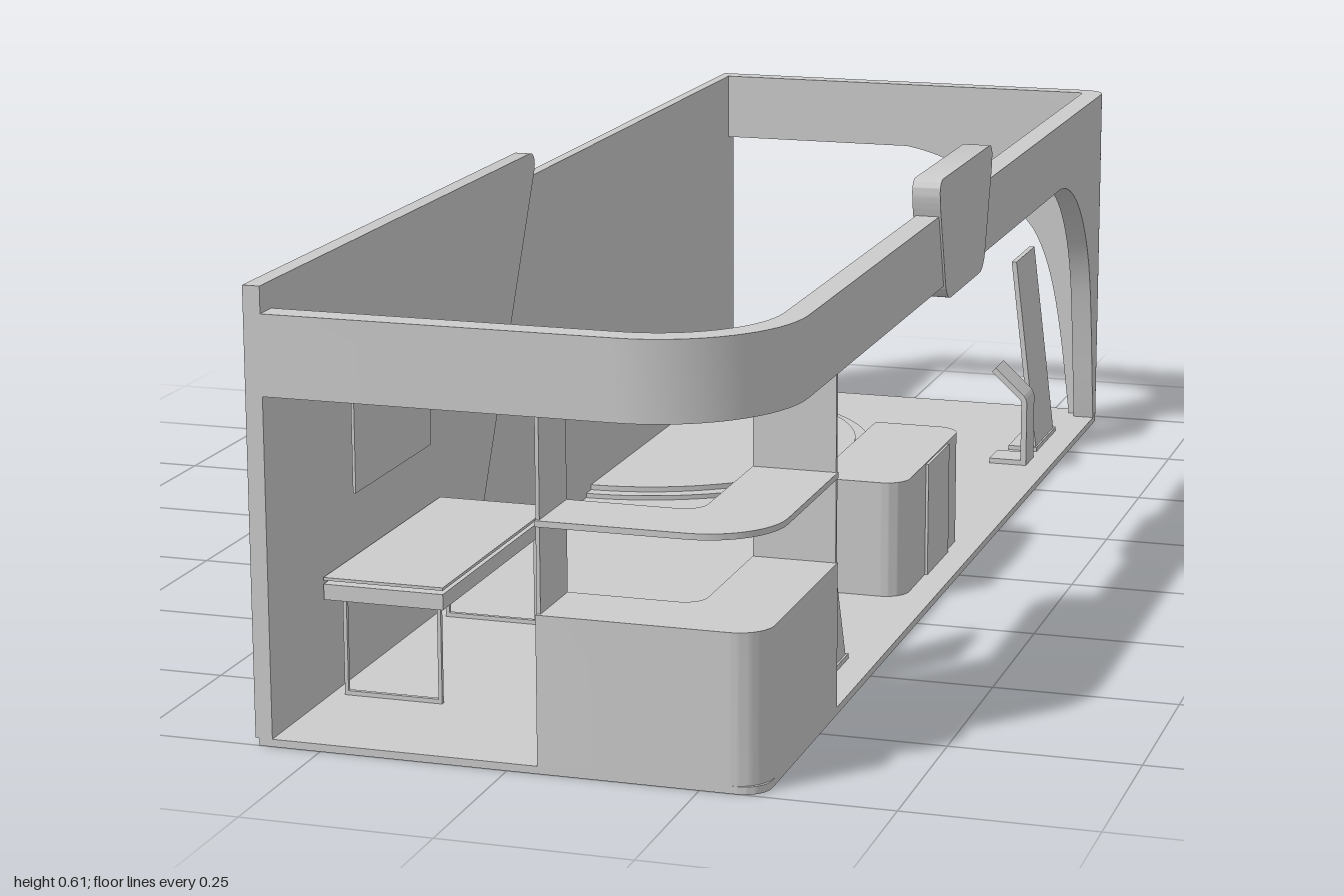
import * as THREE from 'three';
import { toCreasedNormals } from 'three/addons/utils/BufferGeometryUtils.js';

const material = new THREE.MeshStandardMaterial({ color: 0xcccccc, side: THREE.DoubleSide });

// Closed outline from [a, b, cornerRadius] points
function outline(points) {
  const shape = new THREE.Shape();
  const n = points.length;
  points.forEach(([x, y, r = 0], i) => {
    const corner = new THREE.Vector2(x, y);
    const prev = new THREE.Vector2(...points[(i + n - 1) % n].slice(0, 2));
    const next = new THREE.Vector2(...points[(i + 1) % n].slice(0, 2));
    const a = corner.clone().add(prev.sub(corner).setLength(r));
    const b = corner.clone().add(next.sub(corner).setLength(r));
    if (i === 0) shape.moveTo(a.x, a.y);
    else shape.lineTo(a.x, a.y);
    if (r > 0) {
      const c = a.clone().lerp(corner, 0.5523);
      const d = b.clone().lerp(corner, 0.5523);
      shape.bezierCurveTo(c.x, c.y, d.x, d.y, b.x, b.y);
    }
  });
  shape.closePath();
  return shape;
}

function extrude(shape, depth) {
  return new THREE.ExtrudeGeometry(shape, { depth, bevelEnabled: false, curveSegments: 16 });
}

export function createModel() {
  const model = new THREE.Group();

  function add(name, geometry, parent = model) {
    const mesh = new THREE.Mesh(toCreasedNormals(geometry, 0.5), material);
    mesh.name = name;
    parent.add(mesh);
    return mesh;
  }
  function group(name) {
    const g = new THREE.Group();
    g.name = name;
    model.add(g);
    return g;
  }
  // Box from its minimum and maximum corners
  function box(name, x0, x1, y0, y1, z0, z1, parent) {
    const g = new THREE.BoxGeometry(x1 - x0, y1 - y0, z1 - z0);
    return add(name, g.translate((x0 + x1) / 2, (y0 + y1) / 2, (z0 + z1) / 2), parent);
  }
  // Plan outline in (x, z), raised from y0 to y1
  function plan(name, points, y0, y1, parent) {
    const shape = outline(points.map(([x, z, r]) => [x, -z, r]));
    return add(name, extrude(shape, y1 - y0).rotateX(-Math.PI / 2).translate(0, y0, 0), parent);
  }
  // Side outline in (z, y), spanning x0 to x1
  function side(name, shape, x0, x1, parent) {
    return add(name, extrude(shape, x1 - x0).rotateY(-Math.PI / 2).translate(x1, 0, 0), parent);
  }
  // Front outline in (x, y), spanning z0 to z1
  function front(name, shape, z0, z1, parent) {
    return add(name, extrude(shape, z1 - z0).translate(0, 0, z0), parent);
  }

  plan('floor', [[-0.333, -1], [0.333, -1, 0.035], [0.333, 1, 0.035], [-0.333, 1]], 0, 0.01);

  // Left wall in two panels that meet on a slant
  side('rearWallPanel', outline([[-1, 0.01], [0.29, 0.01], [0.01, 0.56], [-1, 0.56]]), -0.333, -0.317);
  side('frontWallPanel',
    outline([[0.296, 0.01], [1, 0.01], [1, 0.595], [-0.005, 0.595, 0.035]]), -0.338, -0.315);

  // Overhead band around the front, right and back
  plan('fascia', [
    [-0.32, 1], [0.333, 1, 0.19], [0.333, -1, 0.035], [-0.32, -1],
    [-0.32, -0.97], [0.3, -0.97, 0.01], [0.3, 0.965, 0.16], [-0.32, 0.965],
  ], 0.455, 0.56);
  plan('soffit', [
    [-0.316, 0.98], [0.315, 0.98, 0.17], [0.315, 0.34],
    [0.22, 0.34, 0.08], [0.22, 0.87, 0.12], [-0.316, 0.87],
  ], 0.454, 0.464);

  // Rear corner column flaring into two arches
  const arches = group('cornerArches');
  const backArch = new THREE.Shape();
  backArch.moveTo(0, 0.455);
  backArch.bezierCurveTo(0.09, 0.44, 0.17, 0.39, 0.22, 0.325);
  backArch.bezierCurveTo(0.26, 0.26, 0.27, 0.15, 0.287, 0.01);
  backArch.lineTo(0.3, 0.01);
  backArch.lineTo(0.3, 0.455);
  front('backArch', backArch, -1, -0.97, arches);
  const sideArch = new THREE.Shape();
  sideArch.moveTo(-0.65, 0.455);
  sideArch.bezierCurveTo(-0.76, 0.45, -0.87, 0.37, -0.905, 0.24);
  sideArch.bezierCurveTo(-0.925, 0.16, -0.935, 0.08, -0.95, 0.01);
  sideArch.lineTo(-0.967, 0.01);
  sideArch.lineTo(-0.967, 0.455);
  side('sideArch', sideArch, 0.3, 0.333, arches);
  plan('cornerColumn',
    [[0.298, -1], [0.333, -1, 0.034], [0.333, -0.965], [0.298, -0.965]], 0.01, 0.455, arches);

  // Sign plate clipped over the right side of the band
  side('signPlate', outline([
    [-0.16, 0.612, 0.02], [0.16, 0.612, 0.02], [0.155, 0.575, 0.01],
    [0.112, 0.433, 0.025], [-0.112, 0.433, 0.025], [-0.155, 0.575, 0.01],
  ]), 0.296, 0.336);

  // L-shaped corner counter, shelf and end panels
  const counter = group('cornerCounter');
  const corner = (r) => [
    [0.04, 1], [0.333, 1, r], [0.333, 0.67], [0.22, 0.67], [0.22, 0.895, 0.03], [0.04, 0.895],
  ];
  plan('counterBody', corner(0.045), 0.01, 0.205, counter);
  plan('counterShelf', corner(0.1), 0.317, 0.325, counter);
  box('frontEndPanel', 0.04, 0.045, 0.01, 0.455, 0.895, 0.995, counter);
  box('sideEndPanel', 0.22, 0.331, 0.01, 0.455, 0.667, 0.673, counter);

  // Table on two open frames
  const table = group('table');
  box('tableTop', -0.313, -0.148, 0.171, 0.175, 0.415, 0.83, table);
  box('tableApron', -0.313, -0.148, 0.145, 0.166, 0.415, 0.83, table);
  for (const z of [0.435, 0.8]) {
    for (const x of [-0.297, -0.166]) {
      box('tableLeg', x, x + 0.005, 0.01, 0.172, z, z + 0.006, table);
    }
    box('tableFootRail', -0.297, -0.161, 0.01, 0.016, z, z + 0.006, table);
  }

  box('wallScreen', -0.307, -0.303, 0.265, 0.418, 0.47, 0.74);
  box('screenMount', -0.317, -0.306, 0.32, 0.36, 0.58, 0.63);

  // Reception desk with rounded outer corners and a raised front panel
  const desk = group('receptionDesk');
  plan('deskBody',
    [[0.16, -0.17], [0.292, -0.17, 0.035], [0.292, 0.17, 0.035], [0.16, 0.17]], 0.01, 0.177, desk);
  box('deskFrontPanel', 0.288, 0.296, 0.01, 0.175, -0.08, 0.045, desk);

  // Half-round two-step platform against the wall
  const platform = group('platform');
  const step = (name, r, y0, y1) => {
    const shape = new THREE.Shape();
    shape.absarc(-0.318, 0.565, r, -Math.PI / 2, Math.PI / 2, false);
    shape.closePath();
    const g = new THREE.ExtrudeGeometry(shape, { depth: y1 - y0, bevelEnabled: false, curveSegments: 48 });
    add(name, g.rotateX(-Math.PI / 2).translate(0, y0, 0), platform);
  };
  step('lowerStep', 0.351, 0.01, 0.017);
  step('upperStep', 0.328, 0.017, 0.025);

  // Leaning display boards on foot plates
  for (const z of [-0.77, 0.535]) {
    const board = group('displayBoard');
    front('leaningBoard',
      outline([[0.282, 0.01], [0.29, 0.01], [0.252, 0.322], [0.244, 0.322]]), z - 0.066, z + 0.066, board);
    box('boardFoot', 0.245, 0.292, 0.01, 0.017, z - 0.072, z + 0.072, board);
  }

  // Small stand with a slanted top
  front('readingStand', outline([
    [0.235, 0.01], [0.295, 0.01], [0.295, 0.12, 0.008], [0.243, 0.168],
    [0.237, 0.161], [0.286, 0.116, 0.004], [0.286, 0.018], [0.235, 0.018],
  ]), -0.66, -0.605);

  return model;
}
